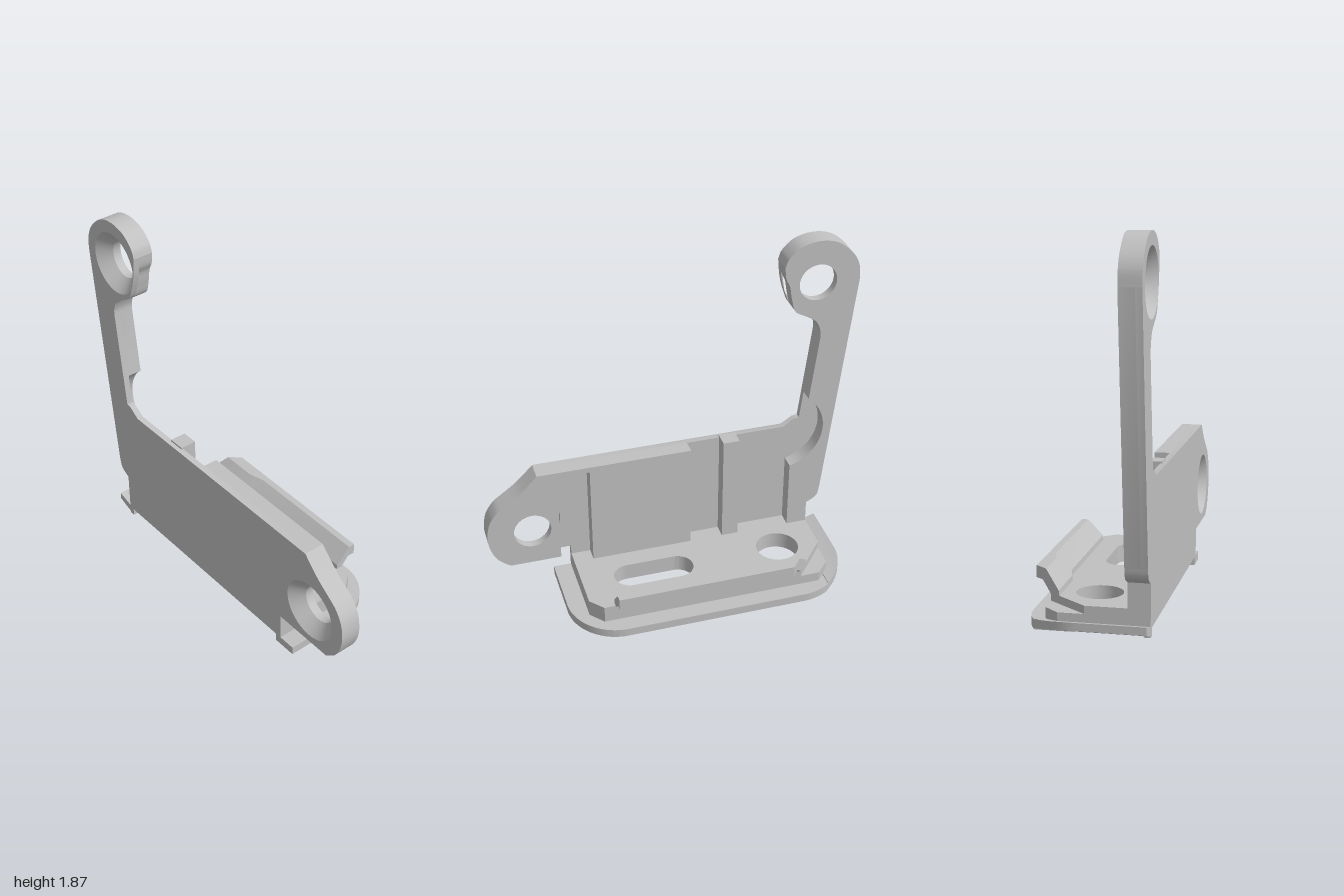
import * as THREE from 'three';
import { toCreasedNormals } from 'three/addons/utils/BufferGeometryUtils.js';

const FRONT = 0.305, MID = 0.272, BACK = 0.195;
const TAB = [0.76, 0.4], HEAD = [-0.775, 1.645];
const SINK = 0.165, SINK_MID = 0.132, BORE = 0.1;
const RIM = 0.046; // height of the flange and of the pocket underneath

const circle = (x, y, r) => new THREE.Path().absarc(x, y, r, 0, Math.PI * 2, false);
const polygon = (pts) => new THREE.Shape(pts.map(([x, y]) => new THREE.Vector2(x, y)));
const through = (shape, pts) => shape.splineThru(pts.map(([x, y]) => new THREE.Vector2(x, y)));

// Upright layer between two depths
function upright(shape, z0, z1) {
  const g = new THREE.ExtrudeGeometry(shape, { depth: z1 - z0, bevelEnabled: false, curveSegments: 24 });
  return toCreasedNormals(g.translate(0, 0, z0), 0.6);
}

// Horizontal layer between two heights; the shape is drawn in x and -z
function level(shape, y0, y1) {
  const g = new THREE.ExtrudeGeometry(shape, { depth: y1 - y0, bevelEnabled: false, curveSegments: 24 });
  return toCreasedNormals(g.rotateX(-Math.PI / 2).translate(0, y0, 0), 0.5);
}

// Solid joining equal cross-sections along +x, with closed ends
function loft(rings) {
  const out = [], n = rings[0].length;
  for (let s = 0; s < rings.length - 1; s++) {
    const a = rings[s], b = rings[s + 1];
    for (let i = 0; i < n; i++) {
      const j = (i + 1) % n;
      out.push(...a[i], ...b[i], ...b[j], ...a[i], ...b[j], ...a[j]);
    }
  }
  const first = rings[0], last = rings[rings.length - 1];
  const contour = last.map(([, y, z]) => new THREE.Vector2(z, y));
  for (const [i, j, k] of THREE.ShapeUtils.triangulateShape(contour, [])) {
    out.push(...first[i], ...first[j], ...first[k], ...last[k], ...last[j], ...last[i]);
  }
  const g = new THREE.BufferGeometry();
  g.setAttribute('position', new THREE.Float32BufferAttribute(out, 3));
  return toCreasedNormals(g, 0.3);
}

// Round end of the side tab, from its lower to its upper corner
function tabEdge(s) {
  s.lineTo(0.89, 0.195);
  through(s, [[0.955, 0.25], [0.99, 0.325], [1, 0.4], [0.985, 0.485], [0.945, 0.55], [0.9, 0.587]]);
  through(s, [[0.81, 0.655], [0.72, 0.745]]);
}

// Arm outline from its inner edge, round the head and down the outer edge
function armEdge(s, waist) {
  s.lineTo(-0.803, 1.31);
  through(s, [[-0.802, 1.36], [-0.775, 1.42], [-0.72, 1.457], [-0.66, 1.495], ...waist, [-0.595, 1.75]]);
  through(s, [[-0.615, 1.8], [-0.68, 1.855], [-0.775, 1.875], [-0.87, 1.855], [-0.95, 1.79],
    [-0.99, 1.72], [-1, 1.64]]);
  s.lineTo(-0.852, 0.36);
  through(s, [[-0.835, 0.3], [-0.78, 0.265]]);
}

// Adds the round and long openings of the base
function baseHoles(s) {
  const slot = new THREE.Path();
  slot.absarc(0.285, -0.005, 0.085, -Math.PI / 2, Math.PI / 2, false);
  slot.absarc(0.02, -0.005, 0.085, Math.PI / 2, Math.PI * 1.5, false);
  s.holes.push(circle(-0.55, -0.015, 0.115), slot);
  return s;
}

// Hooked rail, its left end cut on a diagonal
function railGeometry() {
  const profile = [[-0.185, 0.135], [-0.19, 0.165], [-0.27, 0.25], [-0.305, 0.25],
    [-0.305, 0.19], [-0.265, 0.19], [-0.215, 0.135]];
  const stations = [[null, 0.025], [-0.38, 0.025], [-0.29, 0], [0.42, 0]];
  return loft(stations.map(([x, d]) => profile.map(([z, y], i) => {
    const zz = i < 3 ? z + d : z;
    return [x === null ? -0.53 - (zz + 0.305) * 0.85 : x, y, zz];
  })));
}

// Left end of the flange, curling upwards
function wingGeometry() {
  const rings = [];
  for (let i = 0; i <= 10; i++) {
    const x = -0.875 + 0.125 * (i / 10) ** 2;
    const back = -0.02 - 0.285 * Math.sqrt(Math.max(0, 1 - ((x + 0.595) / 0.28) ** 2));
    const rise = 0.046 * (Math.max(0, -0.7 - x) / 0.175) ** 1.5;
    const top = RIM + rise * 0.85;
    rings.push([[x, rise, 0.304], [x, top, 0.304], [x, top, back], [x, rise, back]]);
  }
  return loft(rings);
}

export function createModel() {
  const group = new THREE.Group();
  const grey = new THREE.MeshStandardMaterial({ color: 0xc0c0c0 });
  grey.name = 'plain grey';
  const add = (name, geometry) => {
    const mesh = new THREE.Mesh(geometry, grey);
    mesh.name = name;
    group.add(mesh);
    return mesh;
  };
  const box = (name, x0, x1, y0, y1, z0, z1) =>
    add(name, new THREE.BoxGeometry(x1 - x0, y1 - y0, z1 - z0)
      .translate((x0 + x1) / 2, (y0 + y1) / 2, (z0 + z1) / 2));

  // Front skin: body, side tab and arm in one outline, open to the pocket below
  const skin = new THREE.Shape();
  skin.moveTo(-0.78, 0.005).lineTo(-0.75, 0.005).lineTo(-0.75, RIM).lineTo(0.51, RIM);
  skin.lineTo(0.51, 0.005).lineTo(0.545, 0.005).lineTo(0.545, 0.195);
  tabEdge(skin);
  skin.lineTo(-0.65, 0.745).lineTo(-0.71, 0.785).lineTo(-0.74, 0.79);
  armEdge(skin, [[-0.63, 1.56], [-0.606, 1.65]]);
  skin.holes.push(circle(...TAB, SINK), circle(...HEAD, SINK));
  add('frontPlate', upright(skin, MID, FRONT));

  // Back half of the arm, with a round relief near its foot and a waisted head
  const arm = new THREE.Shape();
  arm.moveTo(-0.78, 0.135).lineTo(-0.67, 0.135).lineTo(-0.67, 0.537);
  arm.absarc(-0.615, 0.765, 0.235, 4.476, 2.232, true);
  armEdge(arm, [[-0.637, 1.57], [-0.624, 1.64], [-0.602, 1.69]]);
  arm.holes.push(circle(...HEAD, SINK_MID));
  add('armBack', upright(arm, BACK, MID));

  // Back half of the tab
  const tab = new THREE.Shape();
  tab.moveTo(0.615, 0.195);
  tabEdge(tab);
  tab.lineTo(0.615, 0.745);
  tab.holes.push(circle(...TAB, SINK_MID));
  add('tabBack', upright(tab, BACK, MID));

  // Thick panel, lip over the groove, and upright rib
  box('thickPanel', -0.11, 0.44, 0.12, 0.745, BACK, MID);
  box('grooveLip', 0.44, 0.615, 0.715, 0.745, BACK, MID);
  box('rib', -0.38, -0.29, 0.12, 0.755, BACK, MID + 0.01);

  // Countersunk screw holes
  const sink = [[SINK, FRONT], [BORE, 0.24], [BORE, BACK], [SINK_MID, BACK]]
    .map(([r, z]) => new THREE.Vector2(r, z));
  for (const [name, [x, y]] of [['tabScrewHole', TAB], ['armScrewHole', HEAD]]) {
    const g = new THREE.LatheGeometry(sink, 48).rotateX(Math.PI / 2);
    add(name, toCreasedNormals(g, 0.5)).position.set(x, y, 0);
  }

  // Base block: full lower layer, upper layer cut at one corner
  const lower = polygon([[-0.78, -0.29], [0.545, -0.29], [0.545, 0.14], [0.48, 0.215],
    [-0.71, 0.215], [-0.78, 0.14]]);
  add('baseLower', level(baseHoles(lower), RIM, 0.1));
  const upper = polygon([[-0.78, -0.29], [0.545, -0.29], [0.545, 0.14], [0.48, 0.215],
    [-0.606, 0.215], [-0.78, 0.01]]);
  add('baseUpper', level(baseHoles(upper), 0.1, 0.14));

  // Flange: a rim round three sides of the pocket under the base
  const flange = new THREE.Shape();
  flange.moveTo(-0.75, 0.08);
  flange.absarc(-0.65, 0.08, 0.1, Math.PI, Math.PI / 2, true);
  flange.absarc(0.41, 0.08, 0.1, Math.PI / 2, 0, true);
  flange.lineTo(0.51, -0.304).lineTo(0.64, -0.304).lineTo(0.64, 0.03);
  flange.absellipse(0.375, 0.03, 0.265, 0.275, 0, Math.PI / 2, false, 0);
  flange.absellipse(-0.595, 0.02, 0.28, 0.285, Math.PI / 2, 2.157, false, 0);
  add('flange', level(flange, 0, RIM));
  add('flangeCurl', wingGeometry());

  add('hookRail', railGeometry());
  return group;
}
